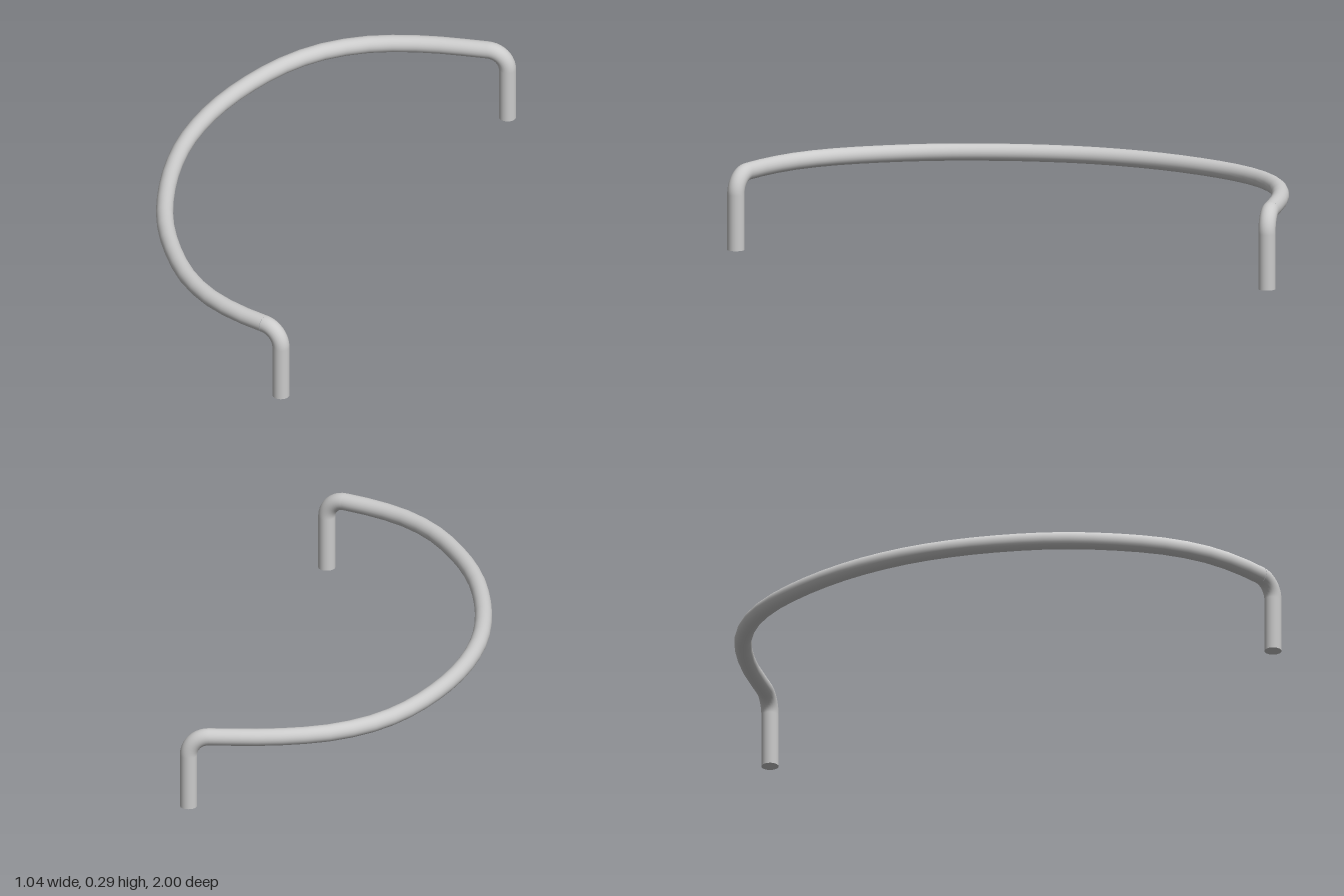
import * as THREE from 'three';

const R = 0.03;       // pipe radius
const BEND = 0.07;    // elbow radius at the pipe's centre line
const LEG = 0.195;    // straight leg height
const SIDES = 24;

const material = new THREE.MeshStandardMaterial({ color: 0xcccccc });

function part(name, geometry) {
  const mesh = new THREE.Mesh(geometry, material);
  mesh.name = name;
  return mesh;
}

// Upright leg with a quarter-turn elbow heading towards local -x
function makeLeg(name, x, z, angle) {
  const leg = new THREE.Group();
  leg.name = name;
  const post = part('post', new THREE.CylinderGeometry(R, R, LEG, SIDES));
  post.position.y = LEG / 2;
  const elbow = part('elbow', new THREE.TorusGeometry(BEND, R, SIDES, 10, Math.PI / 2));
  elbow.position.set(-BEND, LEG, 0);
  leg.add(post, elbow);
  leg.position.set(x, 0, z);
  leg.rotation.y = angle;
  // Point where the rail meets the elbow
  leg.updateMatrix();
  const joint = new THREE.Vector3(-BEND, LEG + BEND, 0).applyMatrix4(leg.matrix);
  return { leg, joint };
}

export function createModel() {
  const group = new THREE.Group();
  group.name = 'curvedRail';

  const front = makeLeg('frontLeg', 0.085, 0.97, -0.41);
  const back = makeLeg('backLeg', 0.49, -0.97, 0);

  // Curved horizontal rail, as x and z from the back leg round to the front leg
  const path = [
    [0.24, -0.967], [0.11, -0.95], [0, -0.92], [-0.13, -0.85], [-0.245, -0.74],
    [-0.355, -0.57], [-0.435, -0.385], [-0.483, -0.185], [-0.495, 0],
    [-0.482, 0.185], [-0.45, 0.355], [-0.39, 0.525], [-0.3, 0.695],
    [-0.2, 0.81], [-0.09, 0.888],
  ].map(([x, z]) => new THREE.Vector3(x, LEG + BEND, z));
  const curve = new THREE.CatmullRomCurve3([back.joint, ...path, front.joint]);

  group.add(front.leg, back.leg, part('rail', new THREE.TubeGeometry(curve, 32, R, SIDES)));
  return group;
}
